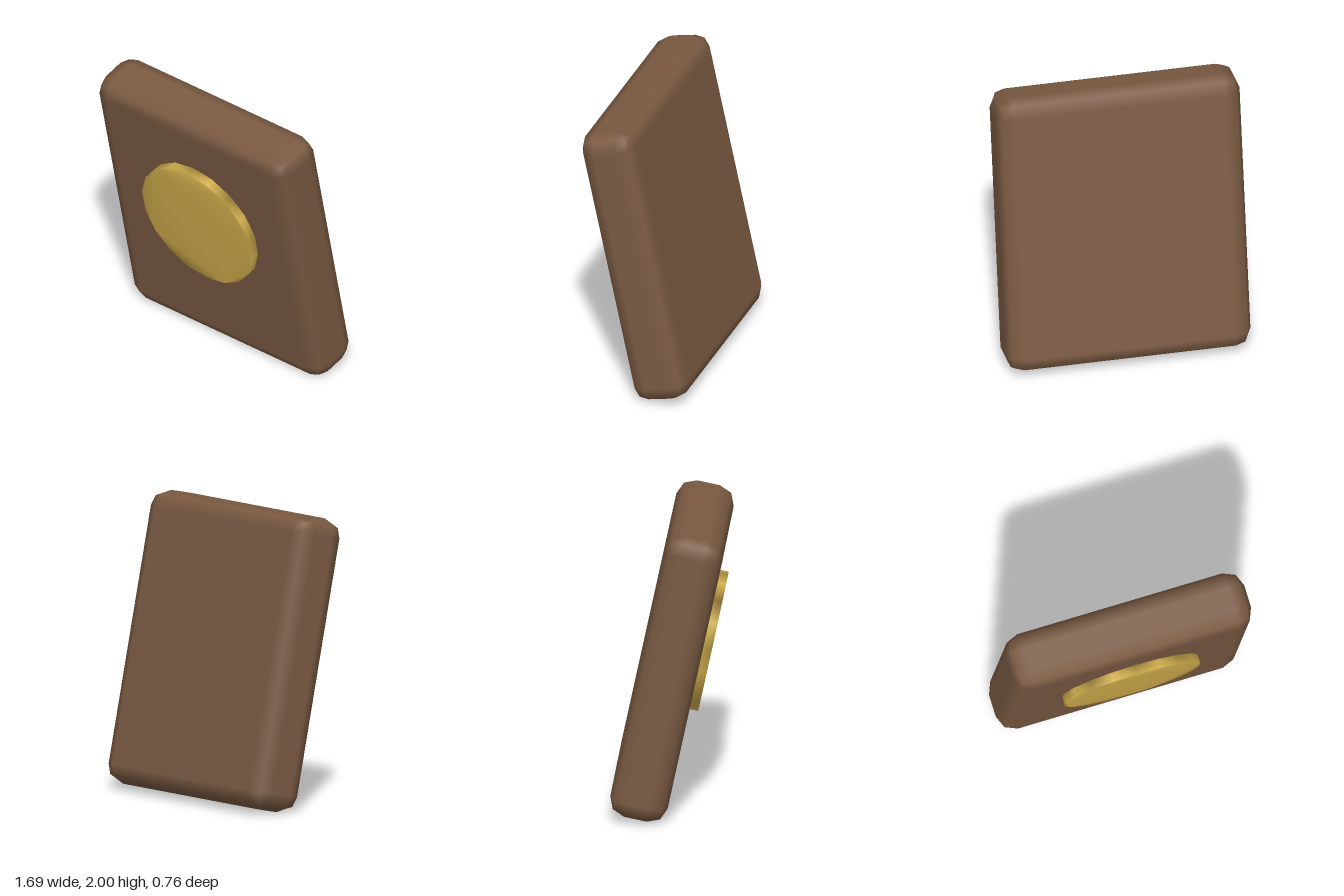
import * as THREE from 'three';
import { mergeVertices } from 'three/addons/utils/BufferGeometryUtils.js';
import { RoundedBoxGeometry } from 'three/addons/geometries/RoundedBoxGeometry.js';

export function createModel() {
  const model = new THREE.Group();
  const leather = new THREE.MeshStandardMaterial({ color: 0x7a5a42 });
  leather.name = 'brown';
  const gold = new THREE.MeshStandardMaterial({ color: 0xd0ad4c });
  gold.name = 'gold';

  // The whole tablet leans forward at the top
  const tablet = new THREE.Group();
  tablet.name = 'tablet';
  tablet.position.y = 1;
  tablet.rotation.x = 0.21;
  model.add(tablet);

  // Slab with two-step rounded edges
  const slab = new THREE.Mesh(new RoundedBoxGeometry(1.69, 2.01, 0.396, 1, 0.12), leather);
  slab.name = 'slab';
  tablet.add(slab);

  // Eighteen-sided medallion, normals shared across the rim for a soft look
  const points = [];
  for (let i = 0; i < 18; i++) {
    const a = Math.PI / 2 + (i * Math.PI) / 9;
    points.push(new THREE.Vector2(0.48 * Math.cos(a), 0.483 * Math.sin(a)));
  }
  let disc = new THREE.ExtrudeGeometry(new THREE.Shape(points), { depth: 0.07, bevelEnabled: false });
  disc.deleteAttribute('normal');
  disc.deleteAttribute('uv');
  disc = mergeVertices(disc, 1e-4);
  disc.clearGroups();
  disc.computeVertexNormals();
  const medallion = new THREE.Mesh(disc, gold);
  medallion.name = 'medallion';
  medallion.position.set(0, 0.129, 0.189);
  tablet.add(medallion);

  return model;
}
